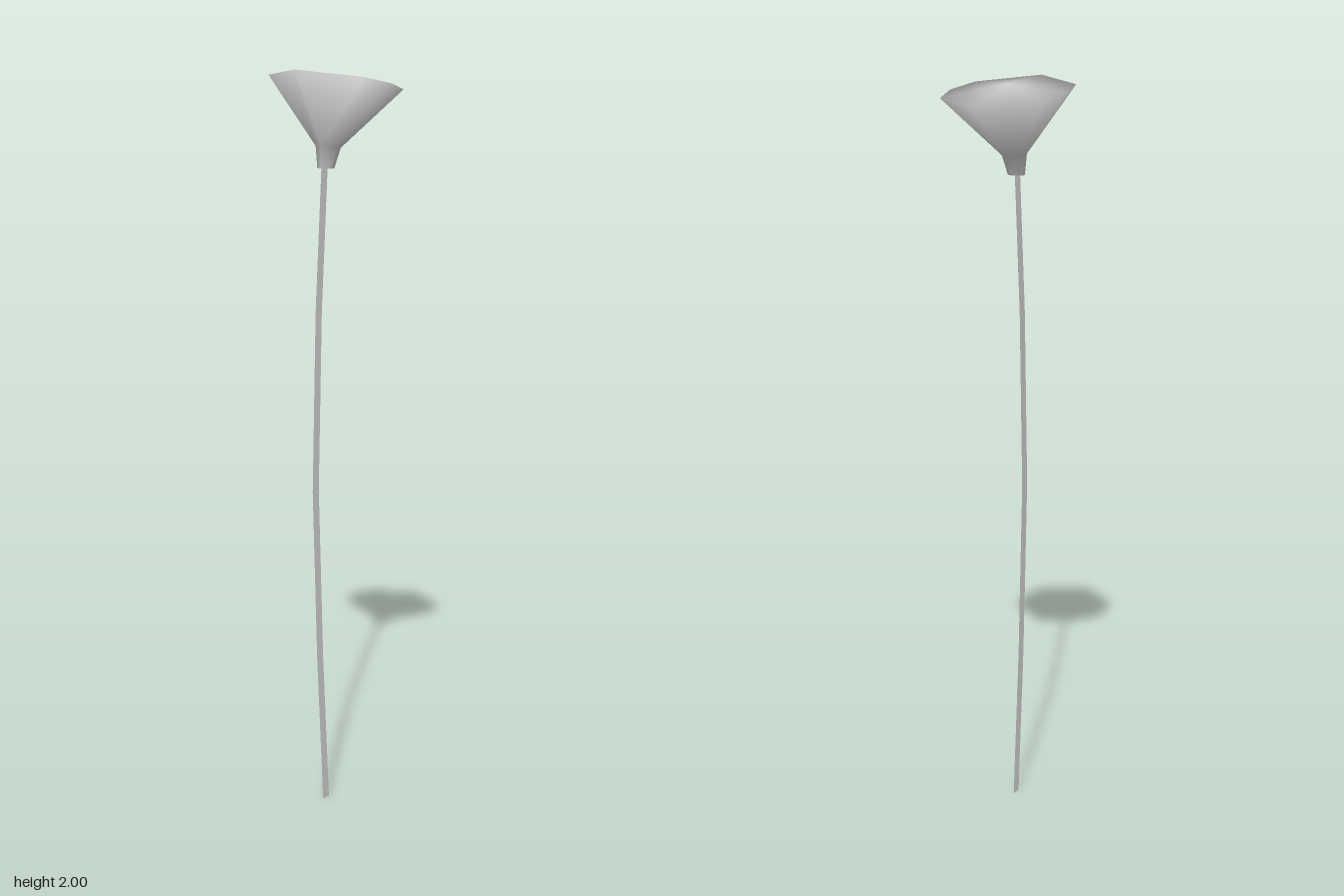
import * as THREE from 'three';

const material = new THREE.MeshStandardMaterial({ color: 0xcccccc, side: THREE.DoubleSide });

// Flat ribbon stem: a plane whose rows follow [centre x, y]
function createStem() {
  const path = [[-0.046, 0], [-0.072, 0.42], [-0.09, 0.9], [-0.075, 1.38], [-0.046, 1.79]];
  const width = 0.027;
  const geometry = new THREE.PlaneGeometry(width, 1, 1, path.length - 1);
  const pos = geometry.attributes.position;
  for (let i = 0; i < pos.count; i++) {
    const [x, y] = path[path.length - 1 - Math.floor(i / 2)];
    pos.setXYZ(i, x + (i % 2 ? 0.5 : -0.5) * width, y, 0);
  }
  const stem = new THREE.Mesh(geometry, material);
  stem.name = 'stem';
  return stem;
}

// Tilted funnel-shaped flower head, closed by a shallow domed top
function createFlowerHead() {
  const angles = [0, 60, 90, 120, 180, 240, 270, 300].map(THREE.MathUtils.degToRad);
  const n = angles.length;
  // Each ring: centre x, centre y, radius, height drop per unit x
  const rings = [
    [-0.043, 1.75, 0.022, 0],
    [-0.033, 1.803, 0.032, -0.15],
    [0, 1.965, 0.172, -0.205],
  ];
  const positions = [];
  const indices = [];
  for (const [cx, cy, r, slope] of rings) {
    for (const a of angles) {
      const dx = Math.cos(a) * r;
      positions.push(cx + dx, cy + dx * slope, Math.sin(a) * r * 1.015);
    }
  }
  const base = positions.length / 3;
  const top = base + 1;
  positions.push(-0.043, 1.75, 0, 0, 1.984, 0);
  const last = (rings.length - 1) * n;
  for (let i = 0; i < n; i++) {
    const j = (i + 1) % n;
    for (let k = 0; k < last; k += n) {
      indices.push(k + i, k + n + i, k + j, k + j, k + n + i, k + n + j);
    }
    indices.push(base, i, j);
    indices.push(top, last + j, last + i);
  }
  const geometry = new THREE.BufferGeometry();
  geometry.setAttribute('position', new THREE.Float32BufferAttribute(positions, 3));
  geometry.setIndex(indices);
  geometry.computeVertexNormals();
  const head = new THREE.Mesh(geometry, material);
  head.name = 'flowerHead';
  return head;
}

export function createModel() {
  const model = new THREE.Group();
  model.name = 'flower';
  model.add(createStem(), createFlowerHead());
  return model;
}
